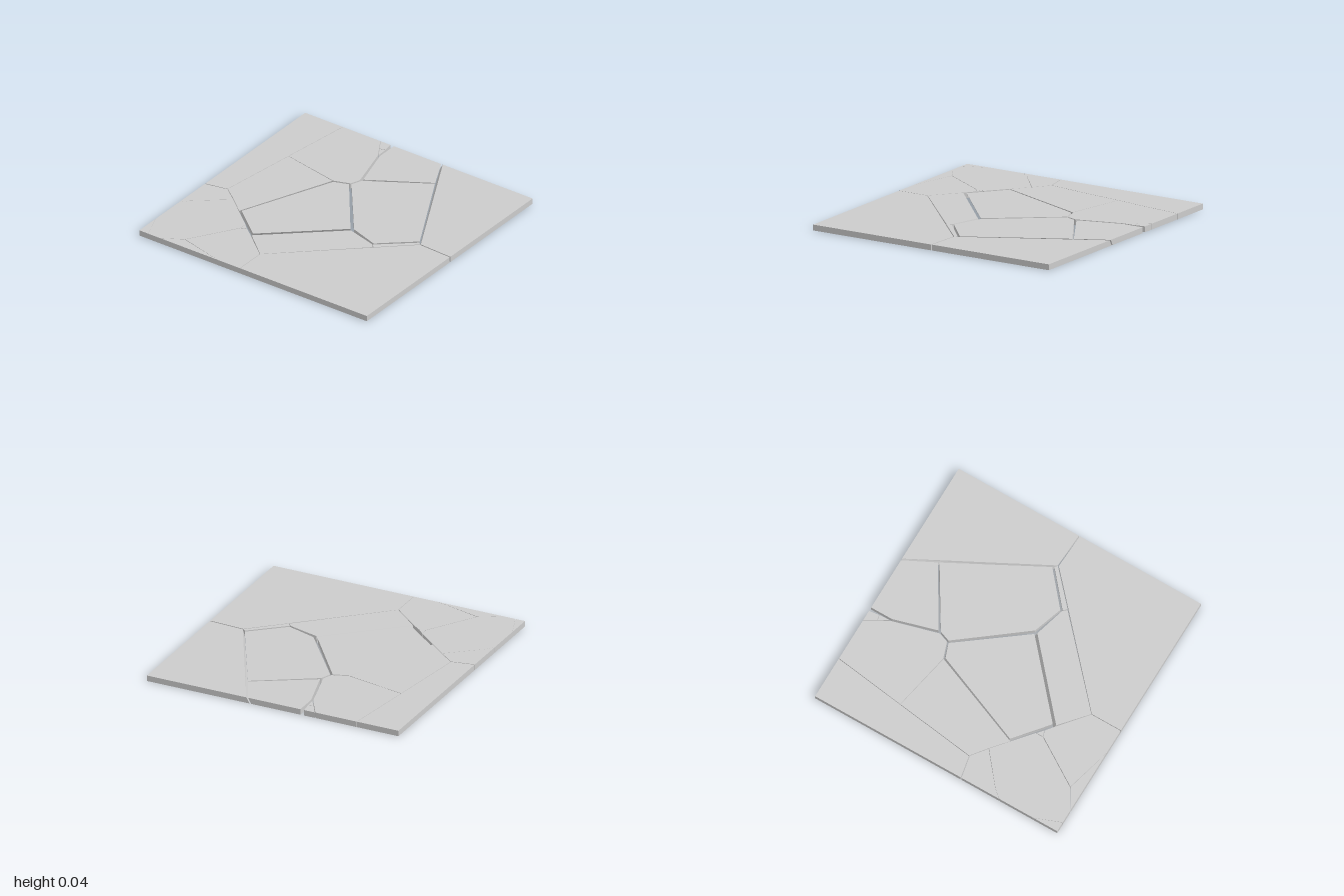
import * as THREE from 'three';

const HEIGHT = 0.043;

// Each piece: outline corners [x, z, dx, dz]; dx, dz lean the cut towards the underside.
const PIECES = {
  frontLeftSlab: [[-1, -0.113], [-0.76, -0.113], [0.013, 0.73], [0, 1], [-1, 1]],
  frontRightSlab: [[0.022, 0.73, 0.01, -0.02], [1, 0.21, 0, -0.025], [1, 1], [0.008, 1]],
  centreFrontSlab: [[-0.165, 0.45], [-0.09, 0.225], [0.4, -0.155], [0.48, -0.125],
    [0.755, 0.32, -0.005, -0.02], [0.05, 0.7, -0.005, -0.02]],
  centreBackSlab: [[-0.355, -0.57, 0.01, -0.015], [0.35, -0.28, 0.005, -0.015], [0.39, -0.17],
    [-0.1, 0.2, 0.015, -0.015], [-0.56, -0.32, 0.015, -0.015]],
  middleStrip: [[-0.757, -0.115], [-0.585, -0.315, 0.015, -0.015], [-0.115, 0.215, 0.015, -0.015],
    [-0.18, 0.45], [-0.21, 0.475]],
  middleSliver: [[-0.208, 0.48], [-0.18, 0.457], [0.035, 0.707], [0.02, 0.727]],
  rightSlab: [[0.5, -0.125], [0.83, -0.22], [1, -0.22], [1, 0.195, 0, -0.025], [0.765, 0.315, 0, -0.02]],
  backCentreSlab: [[-0.17, -0.827], [0.447, -0.743], [0.358, -0.292, 0.005, -0.015],
    [-0.365, -0.585, 0.01, -0.015], [-0.26, -0.71]],
  backRightSlab: [[0.45, -0.743], [1, -0.667], [1, -0.34], [0.91, -0.285], [0.83, -0.237],
    [0.48, -0.14], [0.405, -0.167], [0.363, -0.29]],
  rearRightSlab: [[-0.203, -1], [1, -1], [1, -0.671], [-0.17, -0.831]],
  rearMiddleSlab: [[-0.52, -1], [-0.21, -1], [-0.175, -0.827], [-0.263, -0.713], [-0.46, -0.95]],
  rearLeftSlab: [[-0.8, -1], [-0.522, -1], [-0.462, -0.95], [-0.265, -0.71], [-0.49, -0.44],
    [-0.55, -0.44], [-0.91, -0.668], [-1, -0.82], [-1, -0.922]],
  leftSlab: [[-0.908, -0.662], [-0.552, -0.436], [-0.535, -0.39], [-0.59, -0.32], [-0.76, -0.117],
    [-1, -0.117], [-1, -0.31]],
  leftEdgeSlab: [[-1, -0.817], [-0.912, -0.665], [-1, -0.314]],
  cornerSlab: [[-1, -1], [-0.803, -1], [-1, -0.924]],
  leftChip: [[-0.548, -0.437], [-0.494, -0.437], [-0.532, -0.393]],
  rightInnerChip: [[0.84, -0.235], [0.91, -0.281], [0.92, -0.238]],
  rightOuterChip: [[0.914, -0.283], [1, -0.335], [1, -0.25], [0.923, -0.24]],
};

// A solid slab with flat top and underside and straight or leaning cut sides
function slabGeometry(corners) {
  const flat = corners.map(([x, z]) => new THREE.Vector2(x, z));
  if (THREE.ShapeUtils.area(flat) > 0) {
    corners = [...corners].reverse();
    flat.reverse();
  }
  const top = corners.map(([x, z]) => [x, HEIGHT, z]);
  const base = corners.map(([x, z, dx = 0, dz = 0]) => [x + dx, 0, z + dz]);
  const pos = [];
  const tri = (a, b, c) => pos.push(...a, ...b, ...c);

  for (const face of THREE.ShapeUtils.triangulateShape(flat, [])) {
    let [a, b, c] = face;
    const cross = (flat[b].x - flat[a].x) * (flat[c].y - flat[a].y)
      - (flat[b].y - flat[a].y) * (flat[c].x - flat[a].x);
    if (cross > 0) [b, c] = [c, b];
    tri(top[a], top[b], top[c]);
    tri(base[a], base[c], base[b]);
  }
  for (let i = 0; i < corners.length; i++) {
    const j = (i + 1) % corners.length;
    tri(top[i], base[i], base[j]);
    tri(top[i], base[j], top[j]);
  }
  const geometry = new THREE.BufferGeometry();
  geometry.setAttribute('position', new THREE.Float32BufferAttribute(pos, 3));
  geometry.computeVertexNormals();
  return geometry;
}

export function createModel() {
  const group = new THREE.Group();
  group.name = 'crackedSlab';
  const material = new THREE.MeshStandardMaterial({ color: 0xcccccc, flatShading: true });
  for (const [name, corners] of Object.entries(PIECES)) {
    const mesh = new THREE.Mesh(slabGeometry(corners), material);
    mesh.name = name;
    group.add(mesh);
  }
  return group;
}
